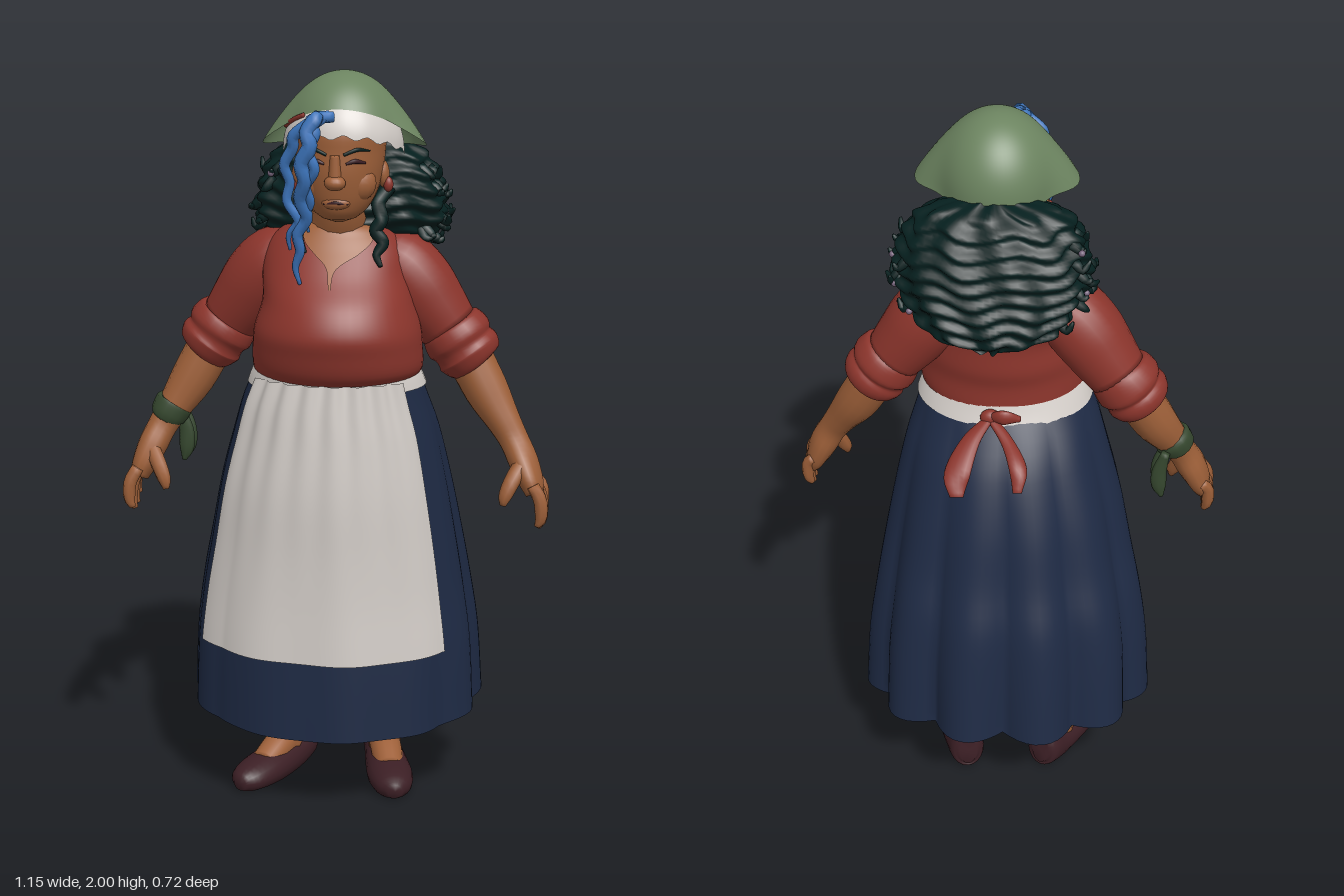
import * as THREE from 'three';

const paint = (name, color, side = THREE.FrontSide) => {
  const m = new THREE.MeshStandardMaterial({ color, side });
  m.name = name;
  return m;
};

// Hermite interpolation of rows whose first entry is the key
function at(rows, k) {
  let i = 0;
  while (i < rows.length - 2 && k > rows[i + 1][0]) i++;
  const a = rows[i], b = rows[i + 1], p = rows[i - 1] || a, n = rows[i + 2] || b;
  const h = b[0] - a[0], t = Math.min(1, Math.max(0, (k - a[0]) / h)), t2 = t * t, t3 = t2 * t;
  return a.map((_, c) => {
    const ma = (b[c] - p[c]) / (b[0] - p[0]) * h, mb = (n[c] - a[c]) / (n[0] - a[0]) * h;
    return (2 * t3 - 3 * t2 + 1) * a[c] + (t3 - 2 * t2 + t) * ma + (3 * t2 - 2 * t3) * b[c] + (t3 - t2) * mb;
  });
}

// Surface from fn(u, v): u runs around, v runs along
function grid(fn, nu, nv, closed) {
  const pos = [], idx = [], w = closed ? nu : nu + 1;
  for (let j = 0; j <= nv; j++) for (let i = 0; i < w; i++) pos.push(...fn(i / nu, j / nv));
  for (let j = 0; j < nv; j++) for (let i = 0; i < nu; i++) {
    const a = j * w + i, b = j * w + (i + 1) % w;
    idx.push(a, b, a + w, b, b + w, a + w);
  }
  const g = new THREE.BufferGeometry();
  g.setAttribute('position', new THREE.Float32BufferAttribute(pos, 3));
  g.setIndex(idx);
  g.computeVertexNormals();
  return g;
}

// Point on a stack of ellipses with rows [y, cx, cz, rx, rz]
function ringPoint(rows, angle, y, off = 0) {
  const [, cx, cz, rx, rz] = at(rows, y);
  return [cx + (rx + off) * Math.sin(angle), y, cz + (rz + off) * Math.cos(angle)];
}
const loft = (rows, nu = 40, nv = 28, off = () => 0) => grid((u, v) => {
  const y = rows[0][0] + (rows.at(-1)[0] - rows[0][0]) * v, a = u * Math.PI * 2;
  return ringPoint(rows, a, y, off(a, y));
}, nu, nv, true);

// Closed tube along rows [x, y, z, radiusA, radiusB]
function sweep(points, { sides = 14, steps = 16, ref = [0, 0, 1] } = {}) {
  const rows = points.map((p, i) => [i, p[0], p[1], p[2], p[3], p[4] ?? p[3]]), last = rows.length - 1;
  const r = new THREE.Vector3(...ref);
  const centre = k => new THREE.Vector3(...at(rows, k).slice(1, 4));
  return grid((u, v) => {
    const step = v * (steps + 2), cap = step < 0.5 || step > steps + 1.5 ? 0 : 1;
    const k = Math.min(1, Math.max(0, (step - 1) / steps)) * last;
    const t = centre(Math.min(last, k + 0.05)).sub(centre(Math.max(0, k - 0.05))).normalize();
    const b = t.clone().cross(r).normalize(), n = t.clone().cross(b), row = at(rows, k), a = u * Math.PI * 2;
    return centre(k).addScaledVector(b, cap * row[4] * Math.cos(a)).addScaledVector(n, cap * row[5] * Math.sin(a)).toArray();
  }, sides, steps + 2, true);
}

const SKIRT = [[0.25, -0.01, -0.02, 0.395, 0.33], [0.45, -0.01, -0.01, 0.385, 0.315], [0.6, -0.01, 0, 0.365, 0.3],
  [0.73, -0.007, 0.02, 0.342, 0.28], [0.9, -0.005, 0.045, 0.31, 0.26], [1.05, 0, 0.07, 0.273, 0.23],
  [1.13, 0, 0.09, 0.248, 0.205], [1.2, 0.005, 0.11, 0.222, 0.178]];
const TORSO = [[1.19, 0.005, 0.11, 0.21, 0.175], [1.22, 0.01, 0.125, 0.225, 0.19], [1.28, 0.01, 0.135, 0.225, 0.2],
  [1.33, 0.01, 0.135, 0.22, 0.21], [1.4, 0.01, 0.12, 0.2, 0.195], [1.47, 0, 0.085, 0.195, 0.165],
  [1.53, 0, 0.065, 0.185, 0.135], [1.57, 0, 0.06, 0.155, 0.11], [1.6, 0, 0.065, 0.1, 0.08], [1.61, 0, 0.07, 0.04, 0.04]];
const FACE = [[1.615, 0.02, 0.19, 0.01, 0.01], [1.63, 0.02, 0.185, 0.05, 0.06], [1.66, 0.02, 0.175, 0.08, 0.09],
  [1.7, 0.02, 0.165, 0.1, 0.112], [1.75, 0.02, 0.155, 0.112, 0.13], [1.8, 0.02, 0.15, 0.117, 0.135],
  [1.86, 0.02, 0.145, 0.12, 0.138], [1.92, 0.02, 0.14, 0.1, 0.11], [1.95, 0.02, 0.14, 0.03, 0.03]];
const HAIR = [[1.445, 0.03, -0.115, 0.04, 0.025], [1.48, 0.03, -0.09, 0.16, 0.07], [1.54, 0.03, -0.05, 0.215, 0.112],
  [1.6, 0.03, -0.015, 0.25, 0.14], [1.68, 0.03, -0.003, 0.245, 0.143], [1.75, 0.03, 0.003, 0.215, 0.113],
  [1.795, 0.03, 0.003, 0.165, 0.08], [1.825, 0.03, 0.015, 0.04, 0.03]];

export function createModel() {
  const model = new THREE.Group();
  const D = THREE.DoubleSide;
  const skin = paint('skin', 0x9e6039), red = paint('blouse red', 0x8c352c), white = paint('linen white', 0xd4cec9, D);
  const navy = paint('skirt navy', 0x1e2a44, D), sage = paint('scarf green', 0x6c8460, D), dark = paint('hair teal', 0x051f1e);
  const blue = paint('streak blue', 0x3d75bc), brown = paint('shoe brown', 0x3c1f25), moss = paint('bracelet moss', 0x36482f);
  const mauve = paint('fleck mauve', 0x74627a);
  const add = (name, geometry, material) => {
    const m = new THREE.Mesh(geometry, material);
    m.name = name;
    model.add(m);
  };
  const ball = (name, mat, p, s) =>
    add(name, new THREE.SphereGeometry(1, 16, 12).scale(...s).translate(...p), mat);

  // Skirt with scalloped folds at the back and a hem that rises behind
  const skirtPoint = (a, y, off = 0) => {
    const low = (1.2 - y) / 0.95, back = (1 - Math.cos(a)) / 2;
    const fold = low * (back * 0.06 * (Math.abs(Math.sin(5.6 * (a - Math.PI))) - 0.6) + 0.004 * Math.sin(11 * a) * (1 - back));
    const p = ringPoint(SKIRT, a, y, fold + off);
    p[1] -= 0.033 * Math.cos(a) * low * low;
    return p;
  };
  add('skirt', grid((u, v) => skirtPoint(u * Math.PI * 2, 0.25 + 0.95 * v), 112, 30, true), navy);

  // Apron gathered at the waist, with its pale reverse showing inside the skirt
  add('apron', grid((u, v) => {
    const a = -1.03 + 1.95 * u, y = 0.46 + 0.74 * v;
    return skirtPoint(a, y, 0.02 - 0.006 * v + 0.006 * Math.sin(a * 24) * v * v + 0.004 * Math.sin(a * 7) * (1 - v));
  }, 90, 24, false), white);
  add('apronReverse', grid((u, v) => skirtPoint(-0.8 + 1.6 * u, 0.42 + 0.3 * v, -0.005), 40, 10, false), white);
  add('waistband', loft([[1.172, 0.005, 0.104, 0.239, 0.19], [1.2, 0.005, 0.11, 0.229, 0.184], [1.226, 0.005, 0.115, 0.216, 0.18]], 48, 4), white);

  // Blouse, open neckline and neck
  add('blouse', loft(TORSO, 48, 36), red);
  const neckline = [[1.45, 0.003, 0.002], [1.49, 0.009, 0.004], [1.508, 0.024, 0.008], [1.53, 0.056, 0.014], [1.56, 0.086, 0.015], [1.605, 0.09, 0.012]];
  add('neckline', grid((u, v) => {
    const y = 1.45 + 0.155 * v, rx = at(TORSO, y)[3], [, half, mid] = at(neckline, y);
    return ringPoint(TORSO, Math.asin(Math.max(-1, Math.min(1, (mid + half * (2 * u - 1)) / rx))), y, 0.005);
  }, 16, 24, false), skin);
  add('neck', sweep([[0, 1.5, 0.06, 0.09], [0.005, 1.58, 0.08, 0.084], [0.015, 1.64, 0.115, 0.072], [0.02, 1.72, 0.13, 0.07]]), skin);

  // Sleeves, rolled cuffs, forearms and hands
  for (const s of [1, -1]) {
    const side = s > 0 ? 'left' : 'right';
    const place = rows => rows.map(([x, y, z, ...r]) =>
      [s * x, y, z - (s < 0 ? 0.06 * Math.min(1, Math.max(0, (x - 0.1) / 0.2)) : 0), ...r]);
    add(side + 'Sleeve', sweep(place([[0.1, 1.505, 0.045, 0.07], [0.16, 1.482, 0.045, 0.095], [0.21, 1.43, 0.045, 0.1],
      [0.255, 1.37, 0.045, 0.092], [0.3, 1.31, 0.045, 0.08]]), { sides: 24 }), red);
    add(side + 'Cuff', sweep(place([[0.295, 1.325, 0.045, 0.07], [0.303, 1.313, 0.045, 0.086], [0.325, 1.283, 0.047, 0.094],
      [0.338, 1.264, 0.048, 0.085], [0.352, 1.245, 0.048, 0.09], [0.367, 1.222, 0.05, 0.078], [0.372, 1.215, 0.05, 0.06]]),
    { sides: 24, steps: 24 }), red);
    add(side + 'Forearm', sweep(place([[0.34, 1.26, 0.045, 0.062], [0.4, 1.15, 0.065, 0.06], [0.45, 1.07, 0.09, 0.046],
      [0.48, 1.02, 0.105, 0.04], [0.505, 0.97, 0.12, 0.04, 0.055], [0.527, 0.92, 0.135, 0.034, 0.062], [0.54, 0.885, 0.145, 0.025, 0.055]]),
    { steps: 24 }), skin);
    for (let i = 0; i < 4; i++) {
      const z = 0.09 + 0.034 * i, drop = [0.025, 0.005, 0, 0.012][i];
      add(side + 'Finger', sweep(place([[0.535, 0.92, z, 0.017], [0.555, 0.87 + drop, z + 0.008, 0.018],
        [0.558, 0.825 + drop, z + 0.01, 0.016], [0.548, 0.8 + drop, z + 0.012, 0.008]]), { sides: 8, steps: 8 }), skin);
    }
    add(side + 'Thumb', sweep(place([[0.51, 0.98, 0.145, 0.022], [0.48, 0.93, 0.18, 0.022], [0.462, 0.89, 0.195, 0.018],
      [0.457, 0.865, 0.2, 0.008]]), { sides: 8, steps: 8 }), skin);

    // Legs and slip-on shoes, each turned outward
    const [ax, az, yaw] = s > 0 ? [0.122, -0.06, 0.22] : [-0.158, -0.05, -0.45];
    const foot = rows => rows.map(([d, y, a, b]) => [ax + d * Math.sin(yaw), y, az + d * Math.cos(yaw), a, b]);
    add(side + 'Leg', sweep([[ax, 0.55, 0, 0.085], [ax, 0.38, -0.035, 0.072], [ax, 0.22, az, 0.053], [ax, 0.12, az, 0.047], [ax, 0.06, az, 0.045]]), skin);
    add(side + 'Instep', sweep(foot([[-0.03, 0.085, 0.04, 0.05], [0.04, 0.075, 0.044, 0.042], [0.12, 0.045, 0.04, 0.035]]), { ref: [0, 1, 0] }), skin);
    const shoe = sweep(foot([[-0.11, 0.065, 0.025, 0.045], [-0.09, 0.062, 0.048, 0.06], [-0.03, 0.04, 0.053, 0.056], [0.05, 0.032, 0.06, 0.052],
      [0.13, 0.03, 0.063, 0.046], [0.2, 0.027, 0.05, 0.036], [0.235, 0.025, 0.02, 0.02]]), { ref: [0, 1, 0], sides: 20, steps: 20 });
    const p = shoe.attributes.position;
    for (let i = 0; i < p.count; i++) p.setY(i, Math.max(p.getY(i), 0));
    shoe.computeVertexNormals();
    add(side + 'Shoe', shoe, brown);
  }

  // Knotted cloth bracelet on the right wrist
  add('bracelet', sweep([[-0.447, 1.082, 0.026, 0.042], [-0.451, 1.076, 0.027, 0.053], [-0.468, 1.047, 0.036, 0.049], [-0.472, 1.04, 0.037, 0.04]]), moss);
  for (const z of [-0.025, 0.015]) add('braceletTail', sweep([[-0.435, 1.06, z, 0.012], [-0.42, 1.0, z, 0.02, 0.012],
    [-0.42, 0.95, z, 0.02, 0.012], [-0.428, 0.915, z, 0.006]], { sides: 8 }), moss);

  // Red sash knot, loop and tails behind
  ball('sashKnot', red, [0.035, 1.2, -0.08], [0.028, 0.024, 0.02]);
  add('sashLoop', sweep([[0.035, 1.2, -0.08, 0.01], [0.0, 1.215, -0.1, 0.022, 0.012], [-0.045, 1.205, -0.09, 0.008]]), red);
  for (const [x, y, w] of [[-0.045, 1.08, 0.024], [0.115, 1.06, 0.036]]) add('sashTail', sweep([[0.035, 1.2, -0.08, 0.012, 0.008],
    [0.035 + (x - 0.035) * 0.6, 1.165, -0.14, w * 0.75, 0.012], [x, y + 0.05, -0.21, w, 0.013], [x, y, -0.25, w / 2, 0.006]], { ref: [0, 1, 0] }), red);

  // Head and face
  add('head', loft(FACE, 36, 26), skin);
  const onFace = (x, y, r) => {
    const row = at(FACE, y);
    return [x, y, ringPoint(FACE, Math.asin((x - row[1]) / row[3]), y)[2], r];
  };
  ball('nose', skin, [0.02, 1.73, 0.286], [0.028, 0.02, 0.026]);
  add('noseBridge', sweep([onFace(0.02, 1.8, 0.012), onFace(0.02, 1.73, 0.018)], { ref: [1, 0, 0] }), skin);
  ball('lips', skin, [0.02, 1.675, 0.258], [0.038, 0.018, 0.018]);
  for (const s of [1, -1]) {
    ball('cheek', skin, [0.02 + s * 0.048, 1.722, 0.222], [0.052, 0.05, 0.04]);
    ball('ear', skin, [0.02 + s * 0.112, 1.735, 0.15], [0.015, 0.035, 0.025]);
    ball('earring', red, [0.02 + s * 0.125, 1.71, 0.16], [0.013, 0.02, 0.013]);
    add('eye', sweep([onFace(0.02 + s * 0.028, 1.778, 0.003), onFace(0.02 + s * 0.05, 1.784, 0.006), onFace(0.02 + s * 0.075, 1.778, 0.003)], { ref: [0, 1, 0], sides: 8 }), brown);
    add('brow', sweep([onFace(0.02 + s * 0.022, 1.801, 0.004), onFace(0.02 + s * 0.055, 1.813, 0.005), onFace(0.02 + s * 0.085, 1.808, 0.002)], { ref: [0, 1, 0], sides: 8 }), dark);
  }
  add('mouth', sweep([[-0.012, 1.672, 0.266, 0.002], [0.02, 1.677, 0.275, 0.004], [0.052, 1.672, 0.266, 0.002]], { ref: [0, 1, 0], sides: 8 }), brown);

  // Headscarf flaring to a point at each side, forehead band and red piping
  const edge = a => 1.84 + 0.075 * Math.cos(a);
  const dome = (a, y, off) => {
    const r = Math.sqrt(Math.max(0, 1 - Math.max(0, (y - 1.82) / 0.18) ** 2));
    return [0.028 + (0.154 + off) * r * Math.sin(a), y, 0.135 + (0.16 + off) * r * Math.cos(a)];
  };
  add('headscarf', grid((u, v) => {
    const a = u * Math.PI * 2, flare = Math.abs(Math.sin(a)) ** 16 * (1 - v) ** 4, e = edge(a) - 0.03 * flare;
    return dome(a, e + (2 - e) * Math.sin(v * Math.PI / 2), 0.06 * flare);
  }, 72, 24, true), sage);
  add('foreheadBand', grid((u, v) => {
    const a = -1.45 + 2.9 * u, low = 1.785 + 0.062 * Math.cos(a) + 0.006 * Math.sin(a * 16);
    return dome(a, low + (edge(a) + 0.012 - low) * v, 0.005 - 0.009 * v * v);
  }, 40, 8, false), white);
  add('piping', sweep([-1.3, -1.1, -0.9, -0.7].map(a => [...dome(a, edge(a), 0.002), 0.006]), { ref: [0, 1, 0], sides: 8 }), red);

  // Back hair in wavy layers
  add('backHair', loft(HAIR, 90, 60, (a, y) => 0.007 * Math.sin(y * 150 + 1.5 * Math.sin(7 * a)) + 0.006 * Math.sin(11 * a + y * 20)), dark);
  let seed = 7;
  const rand = () => (seed = (seed * 16807) % 2147483647) / 2147483647;
  for (let i = 0; i < 28; i++) {
    const a = (i % 2 ? 1 : -1) * (1 + rand() * 1.1), y = 1.51 + rand() * 0.25;
    const [p, q, r] = [-0.015, 0.012, 0.024].map((o, k) => ringPoint(HAIR, a + (rand() - 0.5) * 0.1 * k, y, o));
    add('curl', sweep([[...p, 0.016], [q[0], q[1] - 0.02, q[2], 0.012], [r[0], r[1] - 0.03 + rand() * 0.04, r[2], 0.004]], { sides: 6, steps: 6 }), dark);
    if (i % 3 === 0) ball('fleck', mauve, ringPoint(HAIR, a, y - 0.02, 0.01), [0.009, 0.009, 0.009]);
  }

  // Wavy locks in front of the ears and the blue streak over the face
  const lock = (name, mat, rows, wave) => add(name, sweep(rows.flatMap((r, i) => {
    const n = rows[i + 1];
    const sway = (p, d) => [p[0] + d * wave, ...p.slice(1)];
    return n ? [sway(r, 1), sway(r.map((c, k) => (c + n[k]) / 2), -1)] : [r];
  }), { sides: 8, steps: 40 }), mat);
  lock('sideLock', dark, [[0.135, 1.7, 0.13, 0.02], [0.12, 1.62, 0.17, 0.018], [0.125, 1.56, 0.18, 0.016], [0.13, 1.5, 0.2, 0.006]], 0.009);
  lock('sideLock', dark, [[-0.1, 1.72, 0.13, 0.02], [-0.085, 1.62, 0.16, 0.018], [-0.07, 1.53, 0.19, 0.006]], 0.009);
  lock('blueStreak', blue, [[0.01, 1.9, 0.3, 0.014], [-0.03, 1.9, 0.33, 0.018], [-0.045, 1.83, 0.343, 0.02], [-0.06, 1.74, 0.33, 0.018],
    [-0.06, 1.64, 0.285, 0.016], [-0.08, 1.55, 0.265, 0.013], [-0.075, 1.46, 0.25, 0.005]], 0.008);
  lock('blueStreak', blue, [[0, 1.905, 0.3, 0.012], [-0.05, 1.885, 0.32, 0.016], [-0.095, 1.82, 0.3, 0.015], [-0.105, 1.73, 0.28, 0.013],
    [-0.085, 1.63, 0.275, 0.012], [-0.1, 1.55, 0.25, 0.004]], 0.009);
  lock('blueStreak', blue, [[-0.01, 1.9, 0.31, 0.012], [-0.035, 1.86, 0.33, 0.016], [-0.035, 1.77, 0.33, 0.014], [-0.05, 1.68, 0.295, 0.012], [-0.05, 1.6, 0.265, 0.004]], 0.008);

  return model;
}
